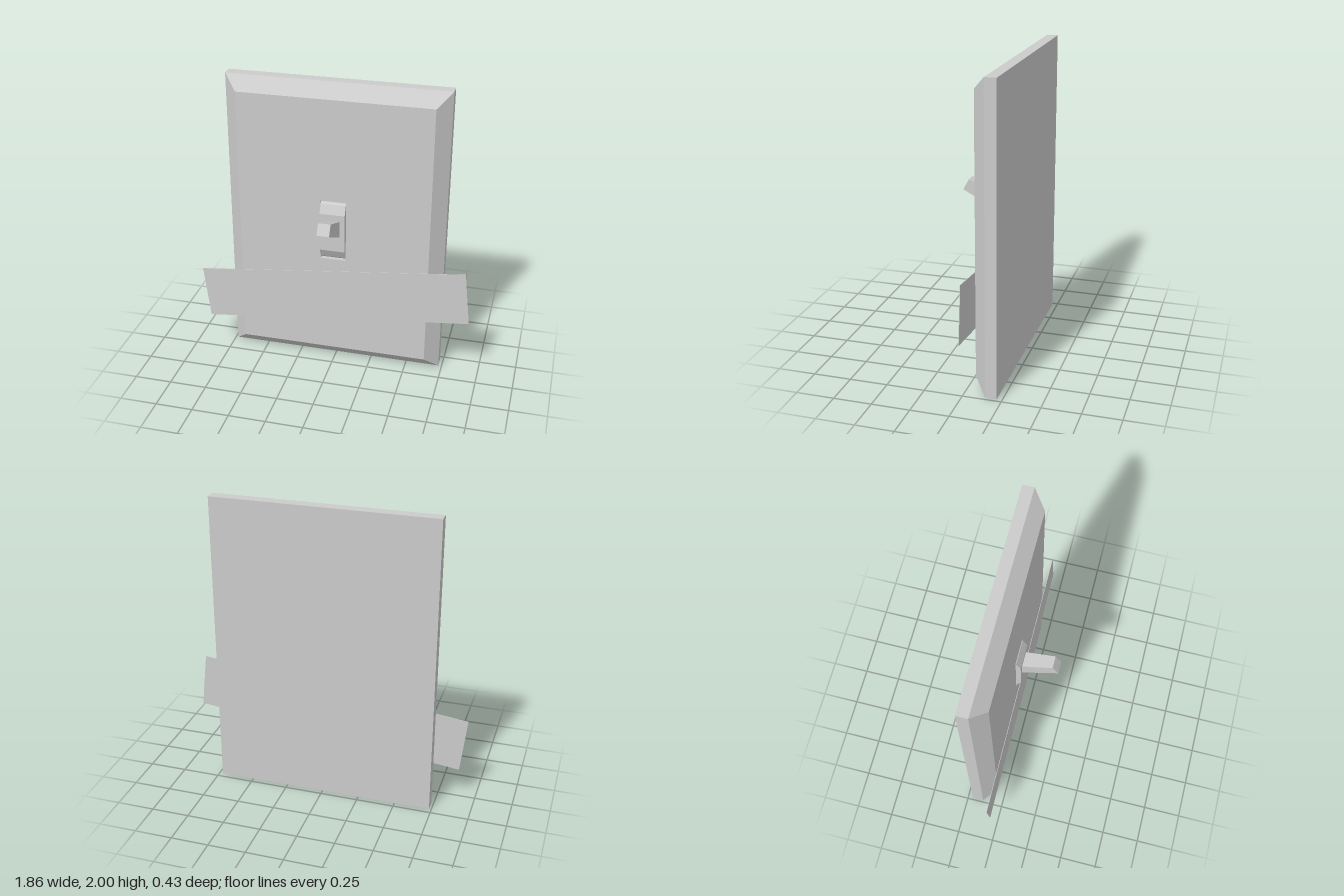
import * as THREE from 'three';

const CX = -0.004; // centre line of the plate and switch
const material = new THREE.MeshStandardMaterial({ color: 0xcccccc, flatShading: true });

// Four corners, anticlockwise seen from the front; zTop lets the ring tilt
const ring = (halfW, y0, y1, z, zTop = z) => [
  [CX - halfW, y0, z], [CX + halfW, y0, z],
  [CX + halfW, y1, zTop], [CX - halfW, y1, zTop],
];

// Skin a list of rings from back to front and cap both ends
function loft(name, rings) {
  const pos = [];
  const quad = (a, b, c, d) => pos.push(...a, ...b, ...c, ...a, ...c, ...d);
  for (let k = 0; k < rings.length - 1; k++) {
    const a = rings[k], b = rings[k + 1];
    for (let i = 0; i < 4; i++) {
      const j = (i + 1) % 4;
      quad(a[i], a[j], b[j], b[i]);
    }
  }
  quad(...[...rings[0]].reverse());
  quad(...rings[rings.length - 1]);
  const geometry = new THREE.BufferGeometry();
  geometry.setAttribute('position', new THREE.Float32BufferAttribute(pos, 3));
  geometry.computeVertexNormals();
  const mesh = new THREE.Mesh(geometry, material);
  mesh.name = name;
  return mesh;
}

export function createModel() {
  const model = new THREE.Group();
  model.name = 'lightSwitch';

  // Bevelled wall plate with a shallow slot for the switch
  model.add(loft('wallPlate', [
    ring(0.731, 0, 2, -0.215),
    ring(0.731, 0, 2, -0.14),
    ring(0.64, 0.092, 1.91, -0.053),
    ring(0.085, 0.79, 1.215, -0.053),
    ring(0.085, 0.79, 1.215, -0.11),
  ]));

  // Faceted collar sitting in the slot, profile in (z, y)
  const width = 0.168;
  const profile = new THREE.Shape([
    [-0.109, 0.8], [-0.065, 0.8], [-0.05, 0.812], [-0.02, 0.87],
    [-0.02, 1.135], [-0.05, 1.195], [-0.065, 1.205], [-0.109, 1.205],
  ].map(([z, y]) => new THREE.Vector2(z, y)));
  const collar = new THREE.Mesh(
    new THREE.ExtrudeGeometry(profile, { depth: width, bevelEnabled: false }), material);
  collar.name = 'switchCollar';
  collar.rotation.y = -Math.PI / 2;
  collar.position.x = CX + width / 2;
  model.add(collar);

  // Tapered toggle lever, tilted upward
  model.add(loft('toggleLever', [
    ring(0.051, 0.978, 1.092, -0.022),
    ring(0.041, 1.1, 1.17, 0.217, 0.178),
  ]));

  // Strip of tape stuck across the plate at a slant
  const tape = new THREE.Mesh(new THREE.BoxGeometry(1.827, 0.372, 0.003), material);
  tape.name = 'tapeStrip';
  tape.position.set(-0.003, 0.517, -0.04);
  tape.rotation.z = 0.1125;
  model.add(tape);

  return model;
}
